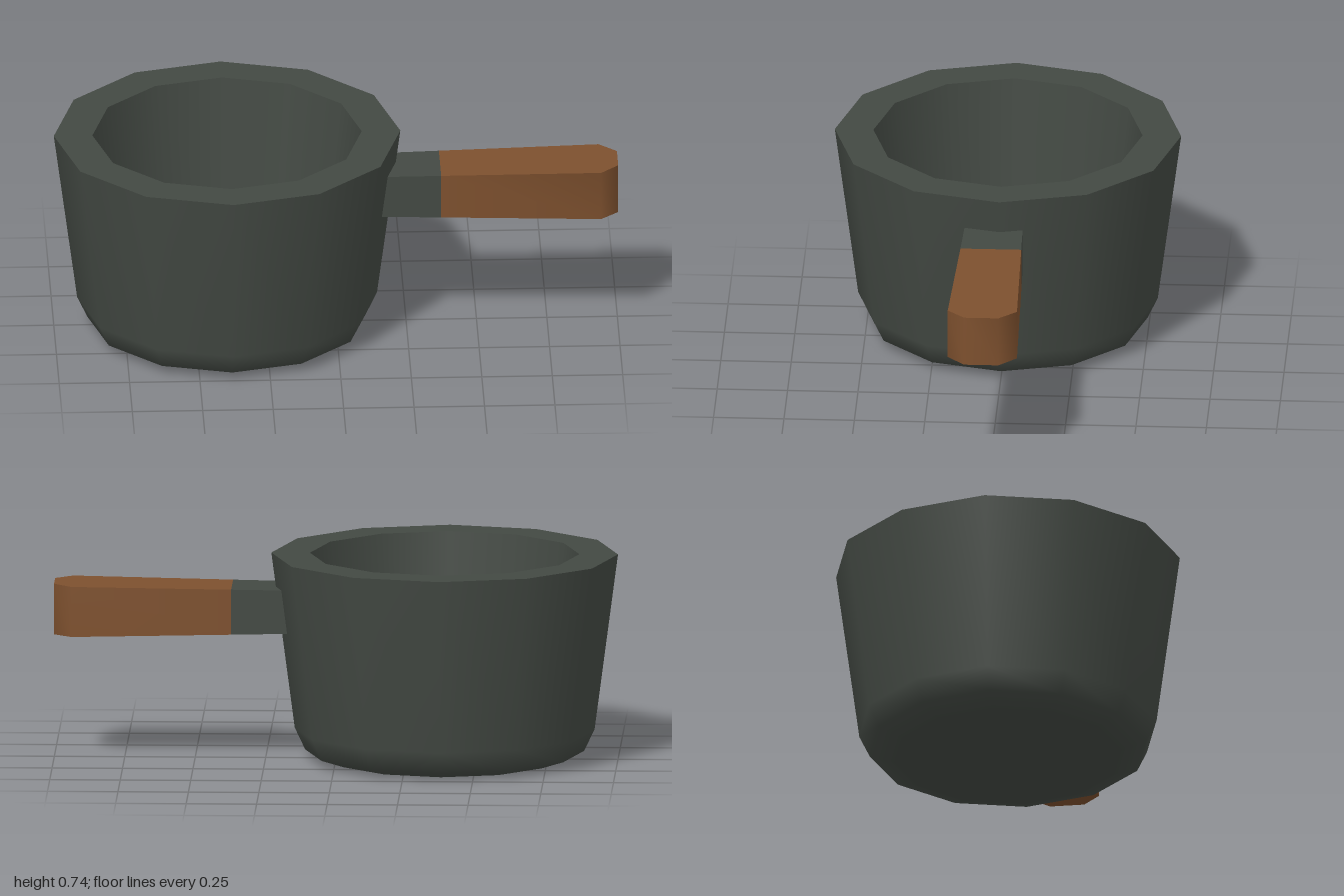
import * as THREE from 'three';
import { toCreasedNormals } from 'three/addons/utils/BufferGeometryUtils.js';

const iron = new THREE.MeshStandardMaterial({ color: 0x434943 });
iron.name = 'dark iron';
const wood = new THREE.MeshStandardMaterial({ color: 0x7d502e });
wood.name = 'brown wood';

const POT_X = -0.385;
const HANDLE_Y = 0.536;

// Twelve-sided ring surface turned from a [radius, y] profile
function turned(name, profile) {
  const geo = new THREE.LatheGeometry(profile.map(([r, y]) => new THREE.Vector2(r, y)), 12);
  const mesh = new THREE.Mesh(geo, iron);
  mesh.name = name;
  mesh.position.x = POT_X;
  return mesh;
}

// Bar drawn as a plan of [x, z] points, growing taller towards its end
function bar(name, plan, material) {
  const shape = new THREE.Shape(plan.map(([x, z]) => new THREE.Vector2(x, -z)));
  let geo = new THREE.ExtrudeGeometry(shape, { depth: 2, bevelEnabled: false });
  geo.rotateX(-Math.PI / 2).translate(0, -1, 0);
  const p = geo.attributes.position;
  for (let i = 0; i < p.count; i++) {
    const halfHeight = 0.075 + 0.016 * p.getX(i);
    p.setY(i, HANDLE_Y + p.getY(i) * halfHeight);
  }
  geo = toCreasedNormals(geo, Math.PI / 3);
  geo.clearGroups();
  const mesh = new THREE.Mesh(geo, material);
  mesh.name = name;
  return mesh;
}

export function createModel() {
  const model = new THREE.Group();
  model.name = 'saucepan';

  // Pot: separate surfaces keep the rim and floor edges sharp
  const pot = new THREE.Group();
  pot.name = 'pot';
  pot.add(
    turned('outerWall', [[0, 0], [0.405, 0], [0.495, 0.03], [0.532, 0.108], [0.615, 0.737]]),
    turned('rim', [[0.615, 0.737], [0.478, 0.737]]),
    turned('innerWall', [[0.478, 0.737], [0.405, 0.15]]),
    turned('floor', [[0.405, 0.15], [0, 0.15]])
  );

  // Handle: iron stub set into the wall, wooden grip with a chamfered end
  const handle = new THREE.Group();
  handle.name = 'handle';
  handle.add(
    bar('handleStub', [[0.13, 0.124], [0.37, 0.13], [0.37, -0.086], [0.13, -0.08]], iron),
    bar('handleGrip', [
      [0.37, 0.13], [0.937, 0.146], [1, 0.085],
      [1, -0.037], [0.937, -0.1], [0.37, -0.086]
    ], wood)
  );

  model.add(pot, handle);
  return model;
}
